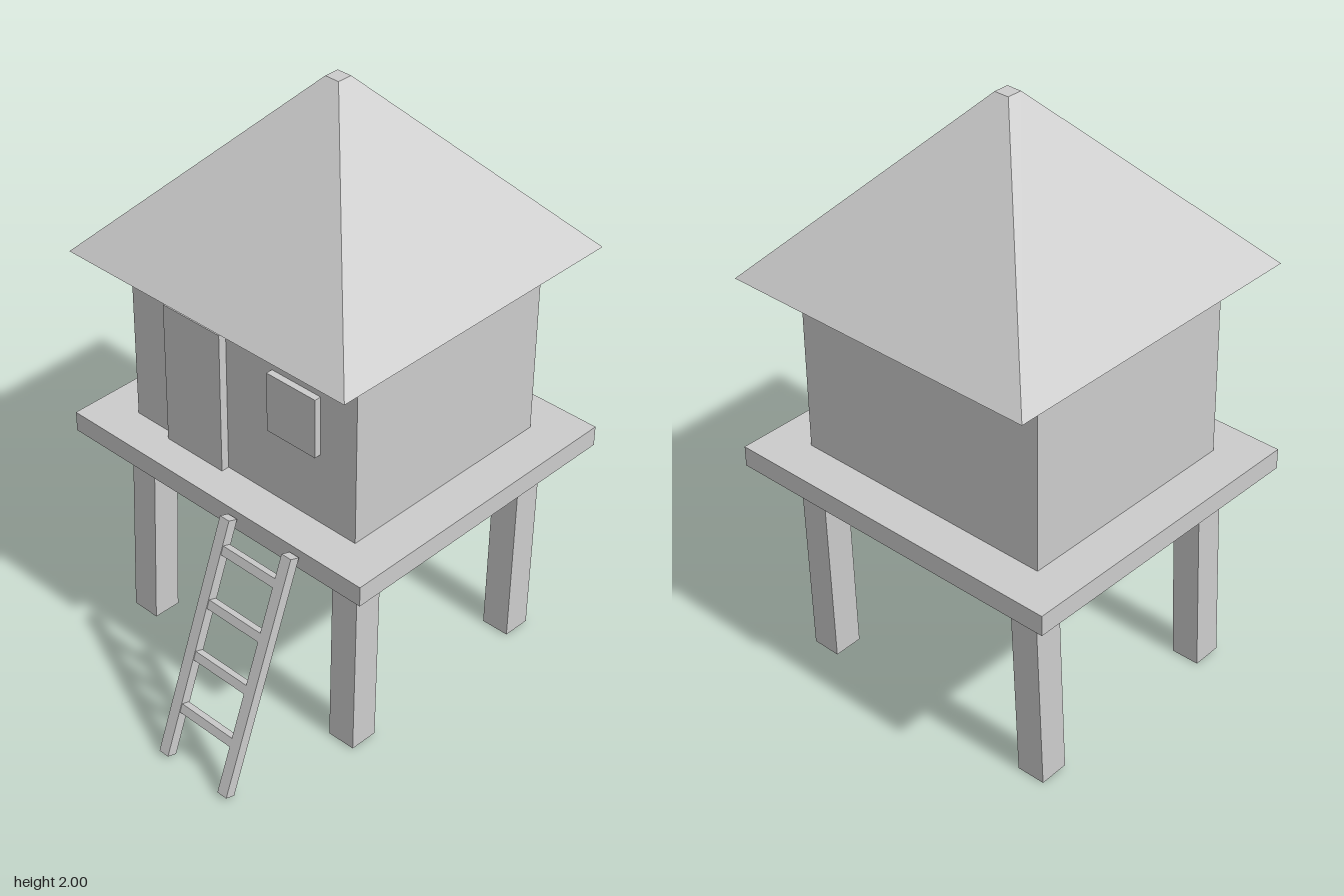
import * as THREE from 'three';

const material = new THREE.MeshStandardMaterial({ color: 0xcccccc, flatShading: true });

function add(parent, name, geometry) {
  const mesh = new THREE.Mesh(geometry, material);
  mesh.name = name;
  parent.add(mesh);
  return mesh;
}

// Box given by its extents along each axis
function box(parent, name, [x0, x1], [y0, y1], [z0, z1]) {
  const mesh = add(parent, name, new THREE.BoxGeometry(x1 - x0, y1 - y0, z1 - z0));
  mesh.position.set((x0 + x1) / 2, (y0 + y1) / 2, (z0 + z1) / 2);
  return mesh;
}

// Square post leaning from a foot point to a head point
function post(parent, name, foot, head, width) {
  const dir = head.clone().sub(foot);
  const mesh = add(parent, name, new THREE.BoxGeometry(width, dir.length(), width));
  mesh.position.copy(foot).add(head).multiplyScalar(0.5);
  mesh.quaternion.setFromUnitVectors(new THREE.Vector3(0, 1, 0), dir.normalize());
  return mesh;
}

export function createModel() {
  const model = new THREE.Group();
  model.name = 'stiltHut';

  // Deck and cabin
  box(model, 'platform', [-0.612, 0.612], [0.72, 0.79], [-0.69, 0.39]);
  box(model, 'walls', [-0.468, 0.466], [0.79, 1.42], [-0.548, 0.254]);
  box(model, 'door', [-0.302, -0.063], [0.79, 1.288], [0.24, 0.282]);
  box(model, 'window', [0.128, 0.323], [1.04, 1.246], [0.24, 0.277]);

  // Hipped roof with a small flat top
  const roof = add(model, 'roof',
    new THREE.CylinderGeometry(0.026 * Math.SQRT2, 0.5625 * Math.SQRT2, 0.58, 4).rotateY(Math.PI / 4));
  roof.position.set(0, 1.71, -0.15);

  // Four slightly leaning stilts
  for (const side of [-1, 1]) {
    for (const [row, footZ, headZ] of [['front', 0.233, 0.215], ['back', -0.507, -0.53]]) {
      post(model, row + (side > 0 ? 'Left' : 'Right') + 'Leg',
        new THREE.Vector3(side * 0.447, 0.003, footZ),
        new THREE.Vector3(side * 0.438, 0.722, headZ), 0.1);
    }
  }

  // Ladder: two rails and four rungs leaning on the deck
  const ladder = new THREE.Group();
  ladder.name = 'ladder';
  const length = 0.818;
  for (const x of [0.098, 0.355]) {
    box(ladder, 'ladderRail', [x - 0.019, x + 0.019], [0, length], [-0.018, 0.018]);
  }
  for (const y of [0.163, 0.336, 0.503, 0.675]) {
    const along = y / Math.cos(0.353);
    box(ladder, 'ladderRung', [0.11, 0.343], [along - 0.015, along + 0.015], [-0.015, 0.015]);
  }
  ladder.position.set(0, 0.006, 0.695);
  ladder.rotation.x = -0.353;
  model.add(ladder);

  return model;
}
